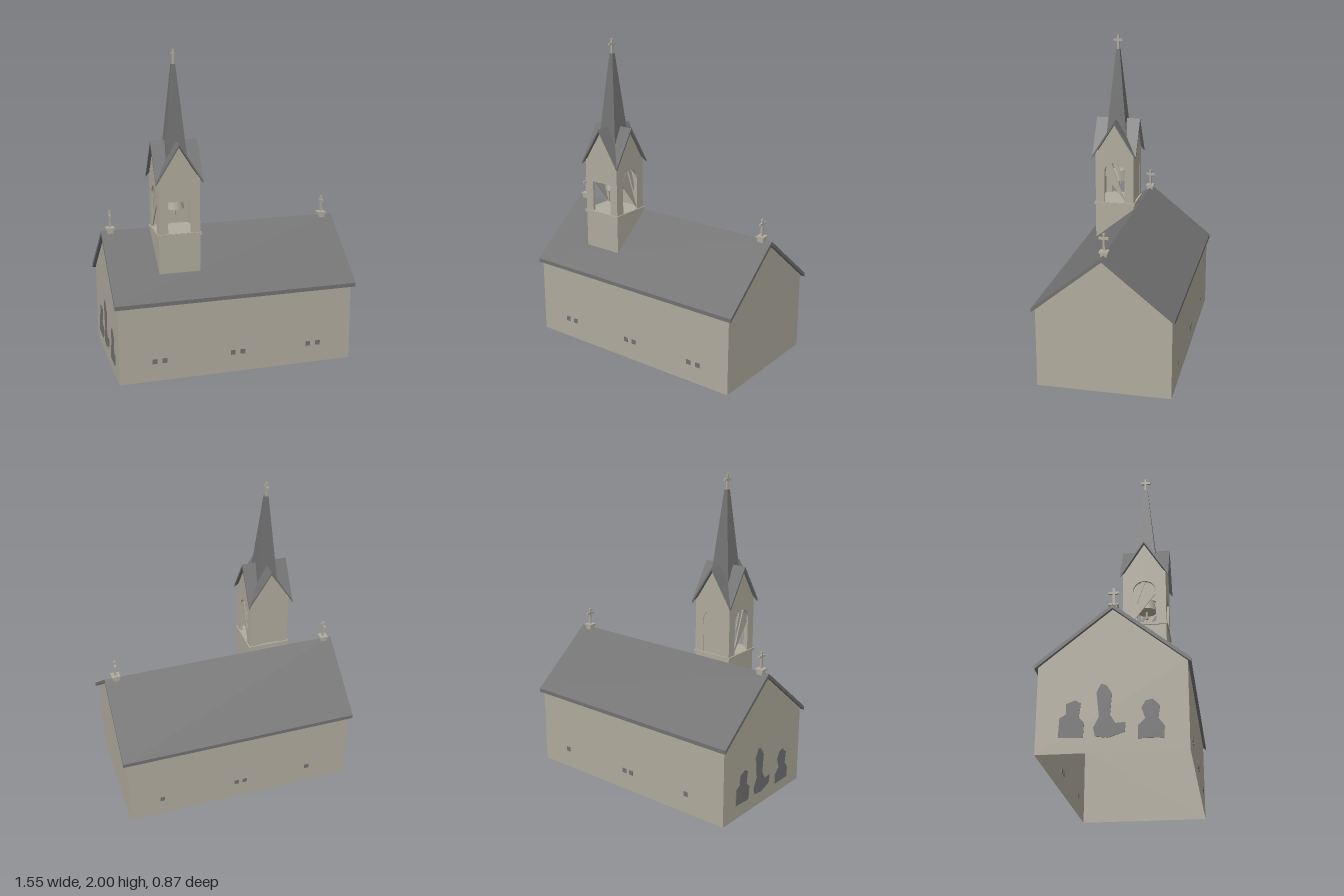
import * as THREE from 'three';

export function createModel() {
  const model = new THREE.Group();
  const plaster = new THREE.MeshStandardMaterial({ color: 0xb0ab9d, side: THREE.DoubleSide });
  plaster.name = 'plaster';
  const slate = new THREE.MeshStandardMaterial({ color: 0x727272, side: THREE.DoubleSide });
  slate.name = 'slate';

  function add(parent, name, geometry, material, x = 0, y = 0, z = 0, turn = 0) {
    const mesh = new THREE.Mesh(geometry, material);
    mesh.name = name;
    mesh.position.set(x, y, z);
    mesh.rotation.y = turn;
    parent.add(mesh);
    return mesh;
  }
  const box = (w, h, d) => new THREE.BoxGeometry(w, h, d);
  const outline = (points) => new THREE.Shape(points.map(([x, y]) => new THREE.Vector2(x, y)));
  const extrude = (shape, depth) =>
    new THREE.ExtrudeGeometry(shape, { depth, bevelEnabled: false, curveSegments: 10 });
  const QUARTER = Math.PI / 2; // turns shape x to -z and depth to +x

  // Nave: open-bottomed thin walls
  const nave = new THREE.Group();
  nave.name = 'nave';
  model.add(nave);
  const W = 0.755, D = 0.415, EAVE = 0.51;
  const gable = new THREE.ShapeGeometry(
    outline([[-D, 0], [D, 0], [D, EAVE], [0, 0.845], [-D, EAVE]]));
  for (const side of [-1, 1]) {
    add(nave, 'gableWall', gable, plaster, side * W - 0.002, 0, 0, side * QUARTER);
    add(nave, 'sideWall', new THREE.PlaneGeometry(2 * W, EAVE), plaster,
      -0.002, EAVE / 2, side * D, side > 0 ? 0 : Math.PI);
  }

  // Nave roof: a chevron drawn along x
  const chevron = outline([[-0.433, 0.515], [0, 0.865], [0.433, 0.515],
    [0.433, 0.49], [0, 0.84], [-0.433, 0.49]]);
  add(nave, 'naveRoof', extrude(chevron, 1.555), slate, -0.7775, 0, 0, QUARTER);

  // Small openings low on the long walls
  for (const x of [-0.537, -0.474, -0.035, 0.029, 0.465, 0.533])
    add(nave, 'frontVent', box(0.03, 0.03, 0.008), slate, x, 0.13, D);
  for (const x of [-0.474, -0.03, 0.026, 0.535])
    add(nave, 'backVent', box(0.03, 0.03, 0.008), slate, x, 0.13, -D);

  // Irregular windows in the -x gable, outlined as z, y
  const windows = [
    [[-0.29, 0.09], [-0.155, 0.085], [-0.15, 0.17], [-0.18, 0.2], [-0.17, 0.28],
      [-0.2, 0.3], [-0.25, 0.28], [-0.25, 0.22], [-0.285, 0.2]],
    [[-0.09, 0.09], [-0.02, 0.08], [0.07, 0.11], [0.075, 0.165], [0.02, 0.16], [-0.01, 0.21],
      [0, 0.33], [-0.03, 0.38], [-0.06, 0.39], [-0.085, 0.34], [-0.07, 0.2], [-0.1, 0.14]],
    [[0.14, 0.07], [0.28, 0.07], [0.28, 0.14], [0.25, 0.18], [0.26, 0.25],
      [0.22, 0.29], [0.18, 0.28], [0.16, 0.24], [0.18, 0.18], [0.14, 0.14]],
  ];
  for (const points of windows)
    add(nave, 'gableWindow', extrude(outline(points.map(([z, y]) => [-z, y])), 0.008),
      slate, -W - 0.006, 0, 0, QUARTER);

  // Cross with arms along z, standing on y
  function addCross(parent, x, y, z, height) {
    const cross = new THREE.Group();
    cross.name = 'cross';
    cross.position.set(x, y, z);
    add(cross, 'crossPost', box(0.012, height, 0.013), plaster, 0, height / 2, 0);
    add(cross, 'crossArms', box(0.012, 0.014, 0.06), plaster, 0, height - 0.031, 0);
    parent.add(cross);
  }

  // Ridge crosses on small capped pedestals
  for (const x of [-0.721, 0.706]) {
    add(model, 'pedestal', box(0.04, 0.04, 0.04), plaster, x, 0.865, 0);
    add(model, 'pedestalCap', box(0.054, 0.012, 0.054), plaster, x, 0.88, 0);
    addCross(model, x, 0.88, 0, 0.113);
  }

  // Bell tower, centred on its own axis
  const tower = new THREE.Group();
  tower.name = 'bellTower';
  tower.position.set(-0.337, 0, 0.148);
  model.add(tower);
  const H = 0.13;
  // Base follows the slope of the roof
  add(tower, 'towerBase', extrude(outline([[-H, 0.64], [H, 0.85], [H, 0.88], [-H, 0.88]]), 2 * H),
    plaster, -H, 0, 0, QUARTER);
  add(tower, 'belt', box(0.275, 0.018, 0.275), plaster, 0, 0.882, 0);

  // Belfry walls with gabled tops
  const arch = () => {
    const path = new THREE.Path();
    path.moveTo(-0.07, 0.892);
    path.lineTo(0.07, 0.892);
    path.lineTo(0.07, 1.1);
    path.absarc(0, 1.1, 0.07, 0, Math.PI, false);
    path.lineTo(-0.07, 0.892);
    return path;
  };
  const square = new THREE.Path([[-0.072, 0.892], [0.072, 0.892], [0.072, 1.09], [-0.072, 1.09]]
    .map(([x, y]) => new THREE.Vector2(x, y)));
  const belfryWall = (hole) => {
    const shape = outline([[-H, 0.88], [H, 0.88], [H, 1.218], [0, 1.425], [-H, 1.218]]);
    shape.holes.push(hole);
    return extrude(shape, 0.015);
  };
  add(tower, 'frontBelfryWall', belfryWall(square), plaster, 0, 0, H - 0.015);
  add(tower, 'backBelfryWall', belfryWall(arch()), plaster, 0, 0, -H);
  add(tower, 'blindArch', extrude(new THREE.Shape(arch().getPoints(10)), 0.008), plaster,
    0, 0, -H + 0.004);
  // Slanting slats cross the side arches
  const slats = [
    [[0.072, 0.9], [-0.065, 1.08], [-0.058, 1.13], [-0.02, 1.165]],
    [[-0.005, 1.168], [0.02, 1.165], [0.05, 1.06], [0.045, 1.02]],
  ];
  for (const x of [-H, H - 0.015]) {
    add(tower, 'sideBelfryWall', belfryWall(arch()), plaster, x, 0, 0, QUARTER);
    for (const points of slats)
      add(tower, 'slat', extrude(outline(points), 0.006), plaster, x + 0.004, 0, 0, QUARTER);
  }

  // Bell and clapper
  add(tower, 'bell', new THREE.CylinderGeometry(0.045, 0.062, 0.07, 12, 1, false), plaster, 0, 1.058, 0);
  add(tower, 'clapper', new THREE.CylinderGeometry(0.006, 0.009, 0.05, 6), plaster, 0, 1.0, 0);

  // Cross-gabled roof: eight slopes meeting in valleys on the diagonals
  const R = 0.148, T = 0.018, slopes = [];
  for (let i = 0; i < 4; i++) {
    const spin = (x, y, z) =>
      new THREE.Vector3(x, y, z).applyAxisAngle(new THREE.Vector3(0, 1, 0), i * QUARTER);
    for (const s of [-1, 1]) {
      const top = [spin(0, 1.45, 0), spin(0, 1.45, R), spin(s * R, 1.215, R)];
      const low = top.map((p) => p.clone().setY(p.y - T));
      if (s < 0) { // keep the outside facing out
        [top[0], top[1]] = [top[1], top[0]];
        [low[0], low[1]] = [low[1], low[0]];
      }
      slopes.push(...top, low[2], low[1], low[0]);
      const a = s > 0 ? 1 : 2, b = s > 0 ? 2 : 0; // edge from ridge end to corner
      slopes.push(top[a], low[a], low[b], top[a], low[b], top[b]);
    }
  }
  const crossRoof = new THREE.BufferGeometry().setFromPoints(slopes);
  crossRoof.computeVertexNormals();
  add(tower, 'crossGableRoof', crossRoof, slate);

  // Square spire
  const spire = new THREE.CylinderGeometry(0.012 * Math.SQRT2, 0.07 * Math.SQRT2, 0.59, 4)
    .toNonIndexed();
  spire.computeVertexNormals();
  add(tower, 'spire', spire, slate, 0, 1.615, 0, Math.PI / 4);
  addCross(tower, 0, 1.9, 0, 0.1);

  return model;
}
